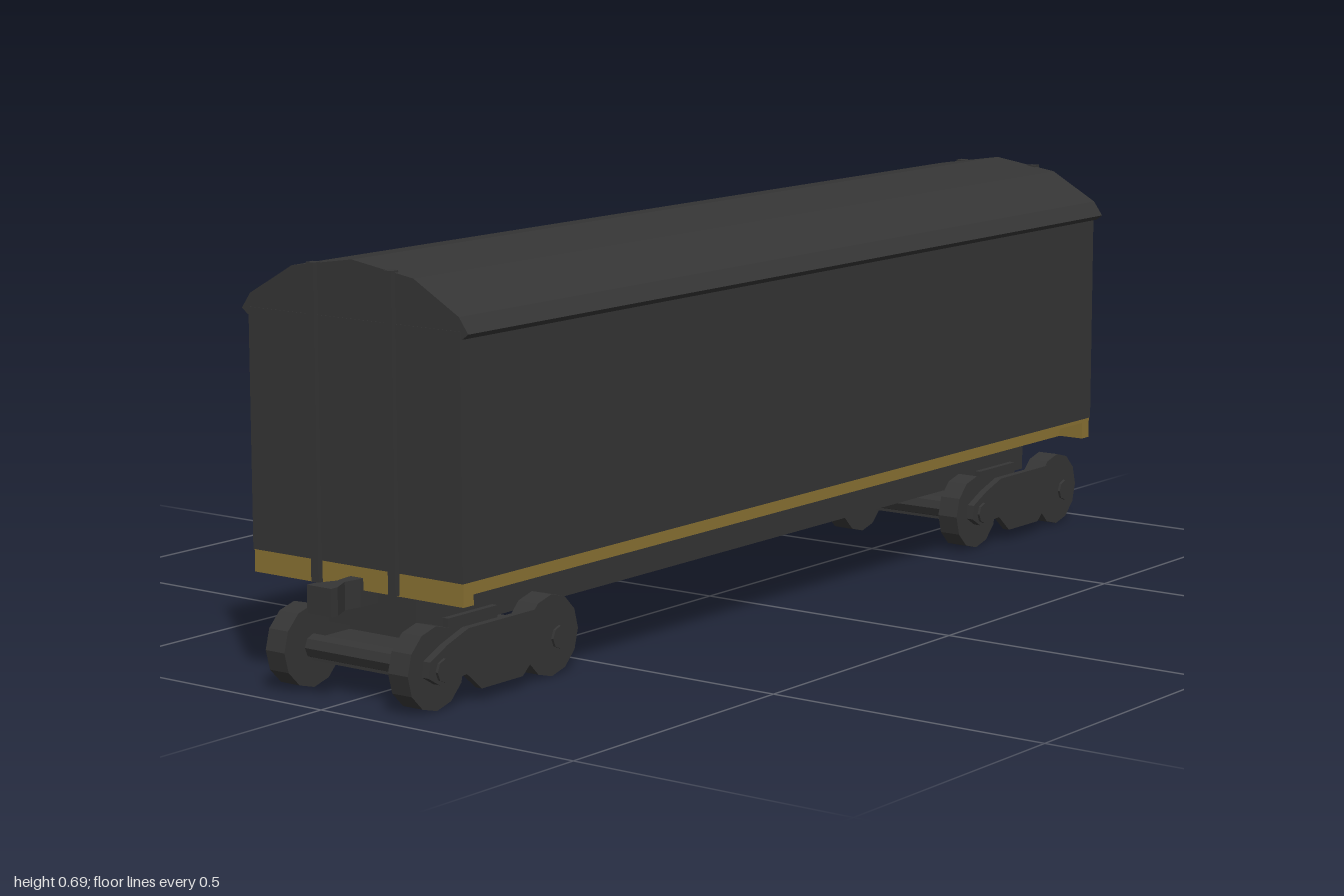
import * as THREE from 'three';

const dark = new THREE.MeshStandardMaterial({ color: 0x353535, flatShading: true });
dark.name = 'charcoal';
const gold = new THREE.MeshStandardMaterial({ color: 0x8a7233, flatShading: true });
gold.name = 'dull gold';

function add(parent, name, geometry, material, x = 0, y = 0, z = 0) {
  const mesh = new THREE.Mesh(geometry, material);
  mesh.name = name;
  mesh.position.set(x, y, z);
  parent.add(mesh);
  return mesh;
}

// Box given by its limits on each axis
function box(parent, name, material, x0, x1, y0, y1, z0, z1) {
  return add(parent, name, new THREE.BoxGeometry(x1 - x0, y1 - y0, z1 - z0), material,
    (x0 + x1) / 2, (y0 + y1) / 2, (z0 + z1) / 2);
}

function extrude(points, depth) {
  const shape = new THREE.Shape(points.map(([x, y]) => new THREE.Vector2(x, y)));
  return new THREE.ExtrudeGeometry(shape, { depth, bevelEnabled: false }).translate(0, 0, -depth / 2);
}

// Cylinder lying across the car
const roller = (radius, width, sides) =>
  new THREE.CylinderGeometry(radius, radius, width, sides).rotateZ(Math.PI / 2);

function createBogie() {
  const bogie = new THREE.Group();
  bogie.name = 'bogie';
  box(bogie, 'bogieFrame', dark, -0.103, 0.103, 0.046, 0.08, -0.15, 0.15);
  box(bogie, 'bolster', dark, -0.103, 0.103, 0.08, 0.125, -0.06, 0.06);
  for (const z of [-0.14, 0.14]) {
    add(bogie, 'axle', roller(0.02, 0.3, 8), dark, 0, 0.067, z);
    for (const s of [-1, 1]) {
      add(bogie, 'wheel', roller(0.067, 0.04, 12), dark, s * 0.128, 0.067, z);
      add(bogie, 'axleBox', roller(0.019, 0.02, 8), dark, s * 0.157, 0.067, z);
    }
  }
  // Side frames: raised over the axles, deep in the middle
  const half = [[0.05, 0.02], [0.085, 0.05], [0.15, 0.045], [0.175, 0.06], [0.172, 0.085], [0.13, 0.105], [0.08, 0.122]];
  const outline = [...half, ...half.map(([z, y]) => [-z, y]).reverse()];
  for (const s of [-1, 1]) {
    const frame = add(bogie, 'sideFrame', extrude(outline, 0.013), dark, s * 0.156, 0, 0);
    frame.rotation.y = Math.PI / 2;
  }
  return bogie;
}

export function createModel() {
  const car = new THREE.Group();
  car.name = 'boxcar';

  // Body and overhanging faceted roof
  box(car, 'body', dark, -0.218, 0.218, 0.212, 0.6, -0.908, 0.915);
  const half = [[0.125, 0.673], [0.215, 0.622], [0.233, 0.597], [0.221, 0.588]];
  const profile = [[0, 0.692], ...half, ...half.map(([x, y]) => [-x, y]).reverse()];
  add(car, 'roof', extrude(profile.reverse(), 1.828), dark);

  // Floor underside, end sills and recessed side sills
  box(car, 'floor', gold, -0.217, 0.217, 0.205, 0.212, -0.9, 0.91);
  box(car, 'underframe', dark, -0.16, 0.16, 0.176, 0.206, -0.88, 0.89);
  for (const s of [-1, 1]) {
    box(car, 'sideSill', gold, s * 0.164 - 0.004, s * 0.164 + 0.004, 0.175, 0.206, -0.89, 0.9);
    const z = s > 0 ? 0.901 : -0.893;
    box(car, 'endSill', gold, -0.217, 0.217, 0.175, 0.212, z - 0.012, z + 0.012);
  }
  box(car, 'centreSill', dark, -0.092, 0.092, 0.105, 0.177, -0.87, 0.88);

  for (const s of [-1, 1]) {
    // Vertical posts on the ends
    for (const x of [-0.08, 0.08]) {
      const z = s * 0.914;
      box(car, 'endPost', dark, x - 0.008, x + 0.008, 0.177, 0.682, z - 0.008, z + 0.008);
    }
    // Coupler flaring out to its head
    const coupler = [[-0.013, 0.84], [0.013, 0.84], [0.013, 0.92], [0.008, 0.95], [0.025, 0.985],
      [0.025, 1], [-0.025, 1], [-0.025, 0.985], [-0.008, 0.95], [-0.013, 0.92]];
    const geometry = extrude(coupler, 0.045).rotateX(Math.PI / 2);
    const mesh = add(car, 'coupler', geometry, dark, 0, 0.172, 0);
    mesh.rotation.y = s > 0 ? 0 : Math.PI;

    const bogie = createBogie();
    bogie.position.z = s > 0 ? 0.758 : -0.765;
    car.add(bogie);
  }
  return car;
}
